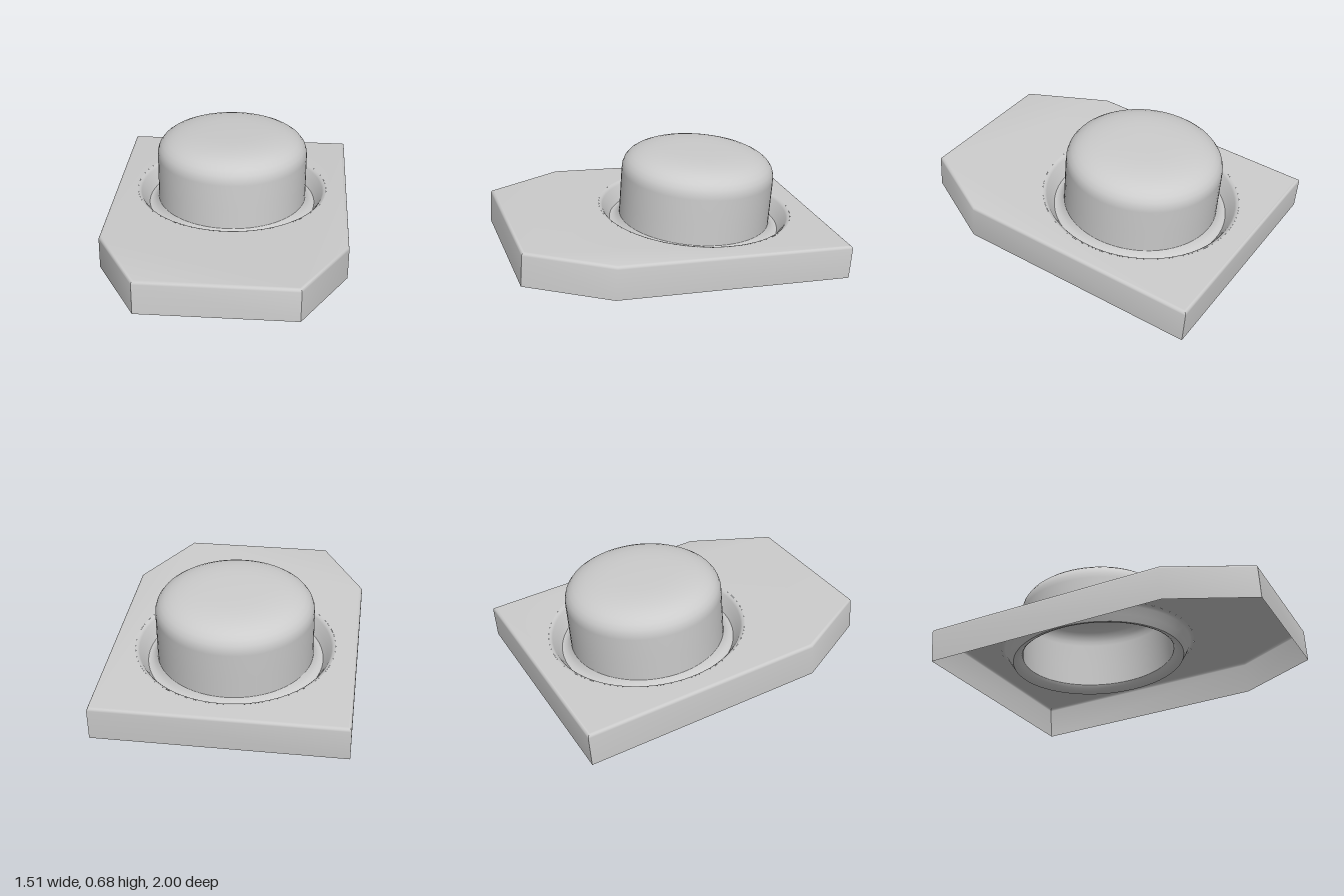
import * as THREE from 'three';
import { mergeGeometries, toCreasedNormals } from 'three/addons/utils/BufferGeometryUtils.js';

const TILT = 0.0732;
const HEIGHT = 0.215;
const FILLET = 0.02;
const BUTTON_Z = -0.24;
const RIM = 0.62;
const SEGMENTS = 64;

// Plate outline (x, z) with chamfered front corners, inset by d on every side
function outline(d) {
  const c = d * 0.26; // shift of the obtuse corners along their straight side
  const f = d * 0.59;
  const half = [[0.755 - d, -0.995 + d], [0.755 - d, 0.505 - c], [0.48 - f, 0.995 - d]];
  return [...half, ...half.map(([x, z]) => [-x, z]).reverse()];
}

// Walls and rounded top edge, one loop of quads per height step
function wallGeometry() {
  const rows = [[0, 0]];
  for (let i = 0; i <= 4; i++) {
    const a = (i / 4) * Math.PI / 2;
    rows.push([FILLET * (1 - Math.cos(a)), HEIGHT - FILLET * (1 - Math.sin(a))]);
  }
  const rings = rows.map(([d, y]) => outline(d).map(([x, z]) => [x, y, z]));
  const pos = [];
  for (let r = 0; r < rings.length - 1; r++) {
    for (let i = 0; i < 6; i++) {
      const j = (i + 1) % 6;
      const a = rings[r][i], b = rings[r][j], c = rings[r + 1][j], d = rings[r + 1][i];
      pos.push(...a, ...c, ...b, ...a, ...d, ...c);
    }
  }
  const g = new THREE.BufferGeometry();
  g.setAttribute('position', new THREE.Float32BufferAttribute(pos, 3));
  g.computeVertexNormals();
  return g;
}

// Flat top with a round opening
function topGeometry() {
  const shape = new THREE.Shape(outline(FILLET).map(([x, z]) => new THREE.Vector2(x, -z)));
  const hole = new THREE.Path();
  hole.absarc(0, -BUTTON_Z, RIM, 0, Math.PI * 2, true);
  shape.holes.push(hole);
  const g = new THREE.ShapeGeometry(shape, SEGMENTS).toNonIndexed();
  g.rotateX(-Math.PI / 2).translate(0, HEIGHT, 0);
  g.deleteAttribute('uv');
  return g;
}

function lathe(points) {
  return new THREE.LatheGeometry(points.map(([r, y]) => new THREE.Vector2(r, y)), SEGMENTS);
}

export function createModel() {
  const material = new THREE.MeshStandardMaterial({ color: 0xcccccc, side: THREE.DoubleSide });
  const model = new THREE.Group();
  model.name = 'buttonHousing';

  // Everything sits on a plate that rises toward the front
  const body = new THREE.Group();
  body.name = 'tiltedBody';
  body.rotation.x = -TILT;
  body.position.set(0, 0.0728, 0.0075);
  model.add(body);

  const add = (name, geometry, z = 0) => {
    const mesh = new THREE.Mesh(geometry, material);
    mesh.name = name;
    mesh.position.z = z;
    body.add(mesh);
  };

  // Hollow plate, open underneath
  add('plateShell', toCreasedNormals(mergeGeometries([wallGeometry(), topGeometry()]), 0.7));

  // Sloped outer side of the groove around the button
  add('grooveWall', lathe([
    [RIM, HEIGHT], [0.607, 0.211], [0.596, 0.2], [0.57, 0.155], [0.546, 0.116],
  ]), BUTTON_Z);

  // Flared foot rising from the groove floor
  add('buttonFoot', lathe([
    [0.546, 0.116], [0.532, 0.117], [0.515, 0.125], [0.498, 0.139], [0.485, 0.16],
  ]), BUTTON_Z);

  // Hollow button with a softly rounded top
  add('button', lathe([
    [0.485, 0.16], [0.485, 0.3], [0.485, 0.455], [0.483, 0.485], [0.473, 0.515], [0.453, 0.542],
    [0.425, 0.563], [0.39, 0.58], [0.345, 0.594], [0.28, 0.605], [0.2, 0.611], [0.1, 0.613], [0, 0.613],
  ]), BUTTON_Z);

  return model;
}
